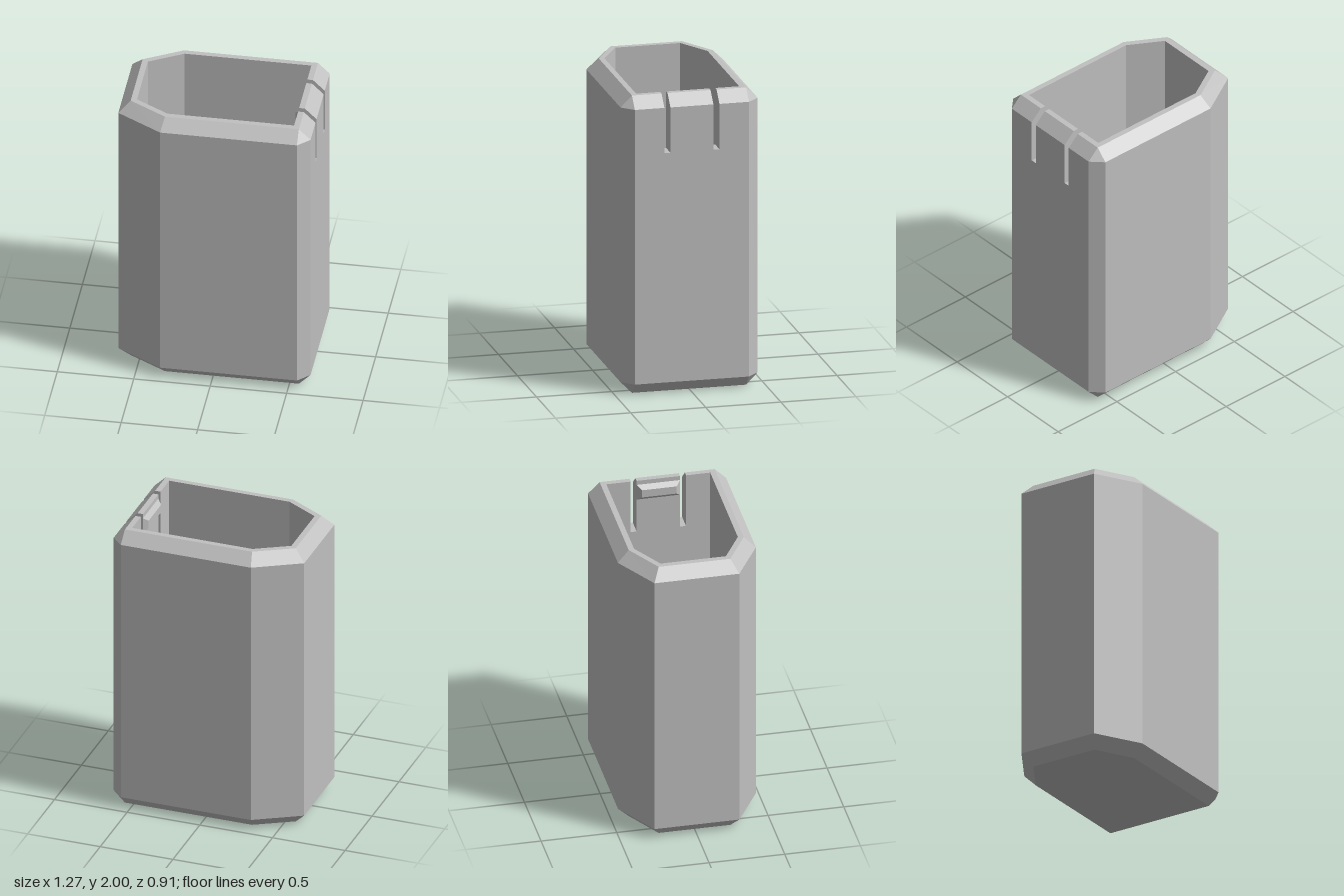
import * as THREE from 'three';

export function createModel() {
  const model = new THREE.Group();
  const grey = new THREE.MeshStandardMaterial({ color: 0xc0c0c0 });
  grey.name = 'light grey';
  grey.flatShading = true;

  const add = (name, geometry) => {
    const mesh = new THREE.Mesh(geometry, grey);
    mesh.name = name;
    model.add(mesh);
    return mesh;
  };

  // Half outlines (x, z), mirrored across z; the right wall lies between points 3 and 4
  const mirror = (half) => [...half, ...half.map(([x, z]) => [x, -z]).reverse()];
  const outer = mirror([[-0.637, -0.28], [-0.335, -0.456], [0.56, -0.456], [0.637, -0.38]]);
  const rim = mirror([[-0.563, -0.237], [-0.315, -0.38], [0.56, -0.38], [0.56, -0.38]]);
  const inner = mirror([[-0.525, -0.216], [-0.305, -0.343], [0.523, -0.343], [0.523, -0.343]]);
  const floorY = 0.115;
  const rings = [[rim, 0], [outer, 0.077], [outer, 1.925], [rim, 2], [inner, 2], [inner, floorY]]
    .map(([ring, y]) => ring.map(([x, z]) => new THREE.Vector3(x, y, z)));

  // Shell: chamfered outside, rim and inside, leaving the right wall open
  const positions = [];
  const tri = (a, b, c) => {
    if (new THREE.Triangle(a, b, c).getArea() < 1e-7) return;
    for (const p of [a, b, c]) positions.push(p.x, p.y, p.z);
  };
  for (let r = 0; r < rings.length - 1; r++) {
    for (let i = 0; i < 8; i++) {
      if (i === 3 && r > 0) continue;
      const j = (i + 1) % 8;
      const [low, high] = [rings[r], rings[r + 1]];
      tri(low[i], high[i], high[j]);
      tri(low[i], high[j], low[j]);
    }
  }
  const [base, floor] = [rings[0], rings[5]];
  for (let i = 1; i < 7; i++) {
    tri(base[0], base[i], base[i + 1]);
    tri(floor[0], floor[i + 1], floor[i]);
  }
  const shell = new THREE.BufferGeometry();
  shell.setAttribute('position', new THREE.Float32BufferAttribute(positions, 3));
  shell.computeVertexNormals();
  add('containerShell', shell);

  // Right wall: sections along z, cut down where the two slots are
  const wallSection = (name, profile, z0, z1) => {
    const shape = new THREE.Shape(profile.map(([x, y]) => new THREE.Vector2(x, y)));
    add(name, new THREE.ExtrudeGeometry(shape, { depth: z1 - z0, bevelEnabled: false }).translate(0, 0, z0));
  };
  const full = [[0.523, 0.077], [0.637, 0.077], [0.637, 1.925], [0.56, 2], [0.523, 2]];
  const cut = [[0.523, 0.077], [0.637, 0.077], [0.637, 1.62], [0.523, 1.62]];
  const [s0, s1] = [0.143, 0.183];
  wallSection('rightWallBack', full, -0.38, -s1);
  wallSection('slotBaseBack', cut, -s1, -s0);
  wallSection('clipTab', full, -s0, s0);
  wallSection('slotBaseFront', cut, s0, s1);
  wallSection('rightWallFront', full, s1, 0.38);

  // Latch: a low four-sided frustum on the inside of the tab
  const latch = new THREE.BoxGeometry(0.028, 0.11, 2 * s0);
  const p = latch.attributes.position;
  for (let i = 0; i < p.count; i++) {
    if (p.getX(i) < 0) {
      p.setY(i, Math.sign(p.getY(i)) * 0.027);
      p.setZ(i, Math.sign(p.getZ(i)) * (s0 - 0.028));
    }
  }
  latch.computeVertexNormals();
  add('clipLatch', latch).position.set(0.509, 1.915, 0);

  // Low ledges at both ends of the floor
  const ledge = (name, points) => {
    const shape = new THREE.Shape(points.map(([x, z]) => new THREE.Vector2(x, -z)));
    const geometry = new THREE.ExtrudeGeometry(shape, { depth: 0.095, bevelEnabled: false });
    add(name, geometry.rotateX(-Math.PI / 2).translate(0, floorY, 0));
  };
  ledge('floorLedgeLeftEnd', mirror([[-0.525, -0.216], [-0.43, -0.271]]));
  ledge('floorLedgeRightEnd', mirror([[0.43, -0.343], [0.523, -0.343]]));

  return model;
}
